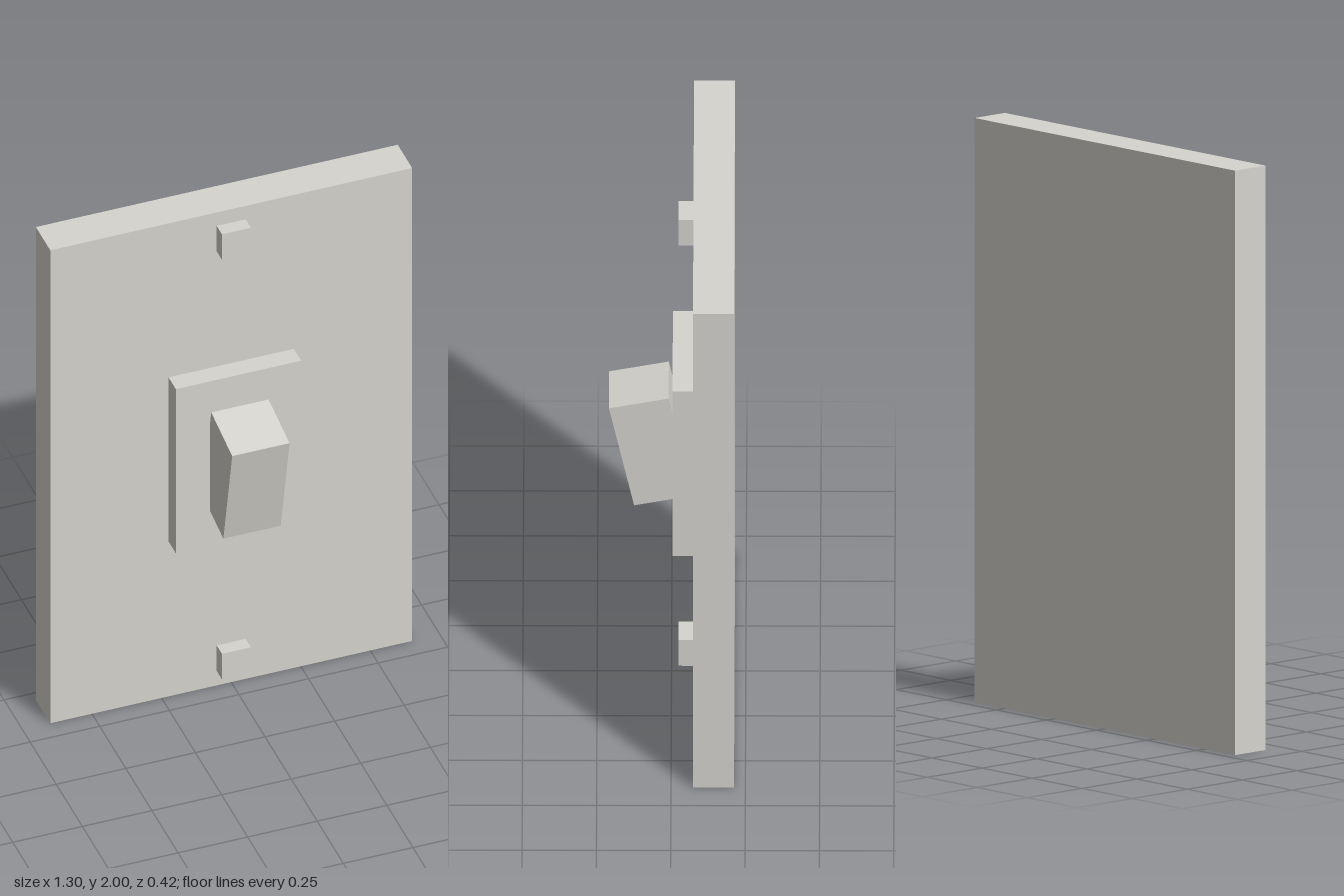
import * as THREE from 'three';

export function createModel() {
  const group = new THREE.Group();
  const plastic = new THREE.MeshStandardMaterial({ color: 0xd6d4ce });
  plastic.name = 'pale warm grey';

  const addBox = (name, size, position) => {
    const mesh = new THREE.Mesh(new THREE.BoxGeometry(...size), plastic);
    mesh.name = name;
    mesh.position.set(...position);
    group.add(mesh);
    return mesh;
  };

  // Wall plate and the raised frame around the switch
  addBox('wallPlate', [1.3, 2, 0.138], [0, 1, -0.143]);
  addBox('switchFrame', [0.45, 0.694, 0.07], [0, 1.002, -0.039]);

  // Switch lever, top tipped forward
  const lever = addBox('switchLever', [0.206, 0.418, 0.205], [0, 1.002, 0.0675]);
  lever.rotation.x = 0.204;

  // Square screw heads above and below
  addBox('upperScrew', [0.104, 0.108, 0.05], [0, 1.889, -0.049]);
  addBox('lowerScrew', [0.104, 0.108, 0.05], [0, 0.115, -0.049]);

  return group;
}
